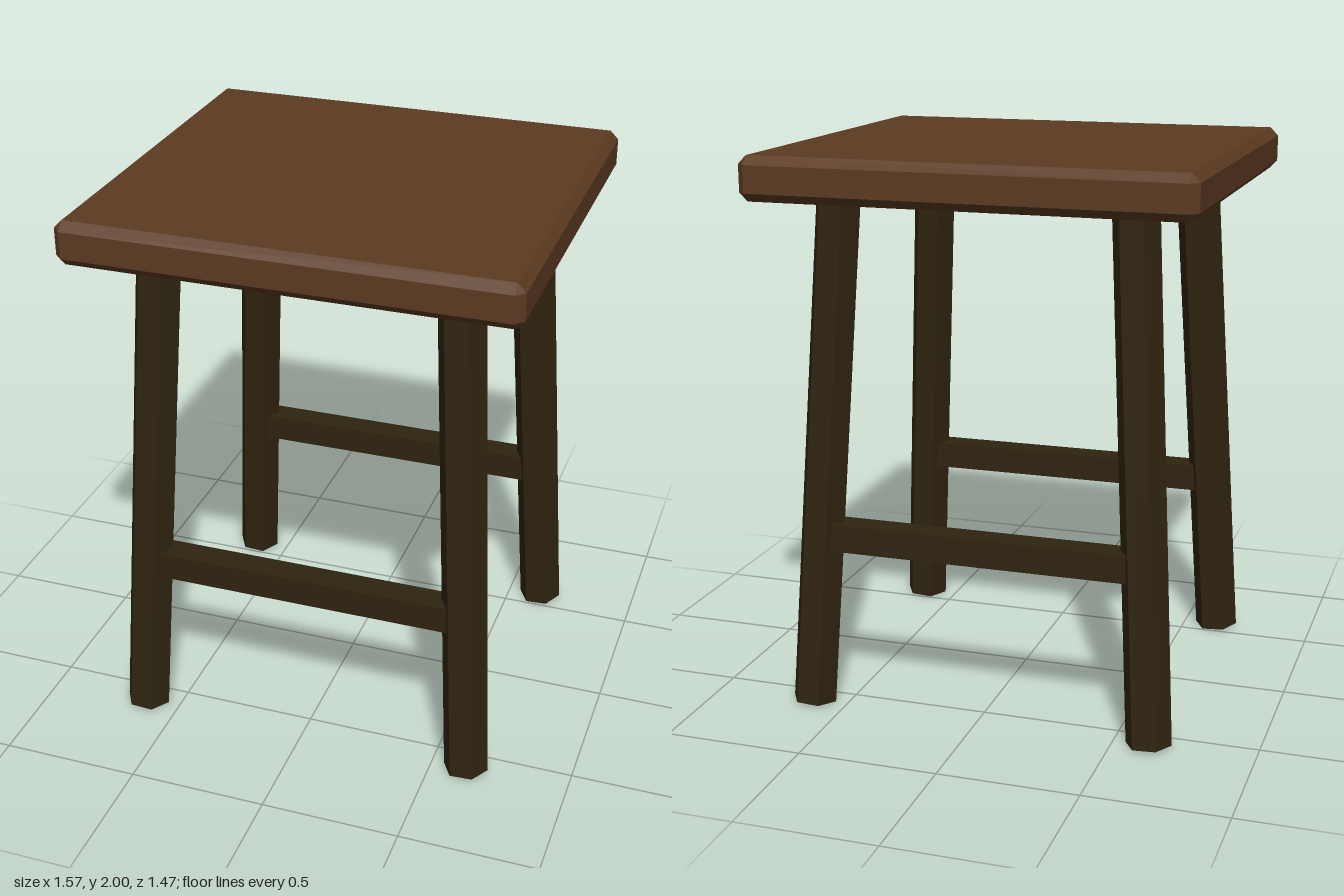
import * as THREE from 'three';
import { ConvexGeometry } from 'three/addons/geometries/ConvexGeometry.js';

const seatWood = new THREE.MeshStandardMaterial({ color: 0x5c3a21 });
seatWood.name = 'seat wood';
const darkWood = new THREE.MeshStandardMaterial({ color: 0x2f2410 });
darkWood.name = 'dark wood';

// Box with every edge cut at 45 degrees: three points around each corner
function chamferedBox(hx, hy, hz, c) {
  const points = [];
  for (const sx of [-1, 1]) for (const sy of [-1, 1]) for (const sz of [-1, 1]) {
    points.push(
      new THREE.Vector3(sx * hx, sy * (hy - c), sz * (hz - c)),
      new THREE.Vector3(sx * (hx - c), sy * hy, sz * (hz - c)),
      new THREE.Vector3(sx * (hx - c), sy * (hy - c), sz * hz),
    );
  }
  return new ConvexGeometry(points);
}

// Six-sided prism between two points, corners pointing along x
function hexLeg(bottom, top, radius) {
  const axis = top.clone().sub(bottom);
  const length = axis.length();
  const geometry = new THREE.CylinderGeometry(radius, radius, length, 6, 1, false, Math.PI / 6).toNonIndexed();
  geometry.computeVertexNormals();
  const leg = new THREE.Mesh(geometry, darkWood);
  leg.quaternion.setFromUnitVectors(new THREE.Vector3(0, 1, 0), axis.normalize());
  leg.position.copy(bottom).add(top).multiplyScalar(0.5);
  return leg;
}

export function createModel() {
  const stool = new THREE.Group();
  stool.name = 'stool';

  // Thick seat board with chamfered edges
  const seat = new THREE.Mesh(chamferedBox(0.785, 0.0775, 0.733, 0.03), seatWood);
  seat.name = 'seat';
  seat.position.y = 1.9225;
  stool.add(seat);

  for (const sz of [1, -1]) {
    const end = sz > 0 ? 'front' : 'back';

    // Splayed legs
    for (const sx of [1, -1]) {
      const leg = hexLeg(
        new THREE.Vector3(sx * 0.627, 0.009, sz * 0.58),
        new THREE.Vector3(sx * 0.525, 1.847, sz * 0.473),
        0.082,
      );
      leg.name = end + (sx > 0 ? 'Left' : 'Right') + 'Leg';
      stool.add(leg);
    }

    // Stretcher joining the two legs
    const stretcher = new THREE.Mesh(new THREE.BoxGeometry(1.11, 0.1, 0.1), darkWood);
    stretcher.name = end + 'Stretcher';
    stretcher.position.set(0, 0.64, sz * 0.543);
    stool.add(stretcher);
  }
  return stool;
}
